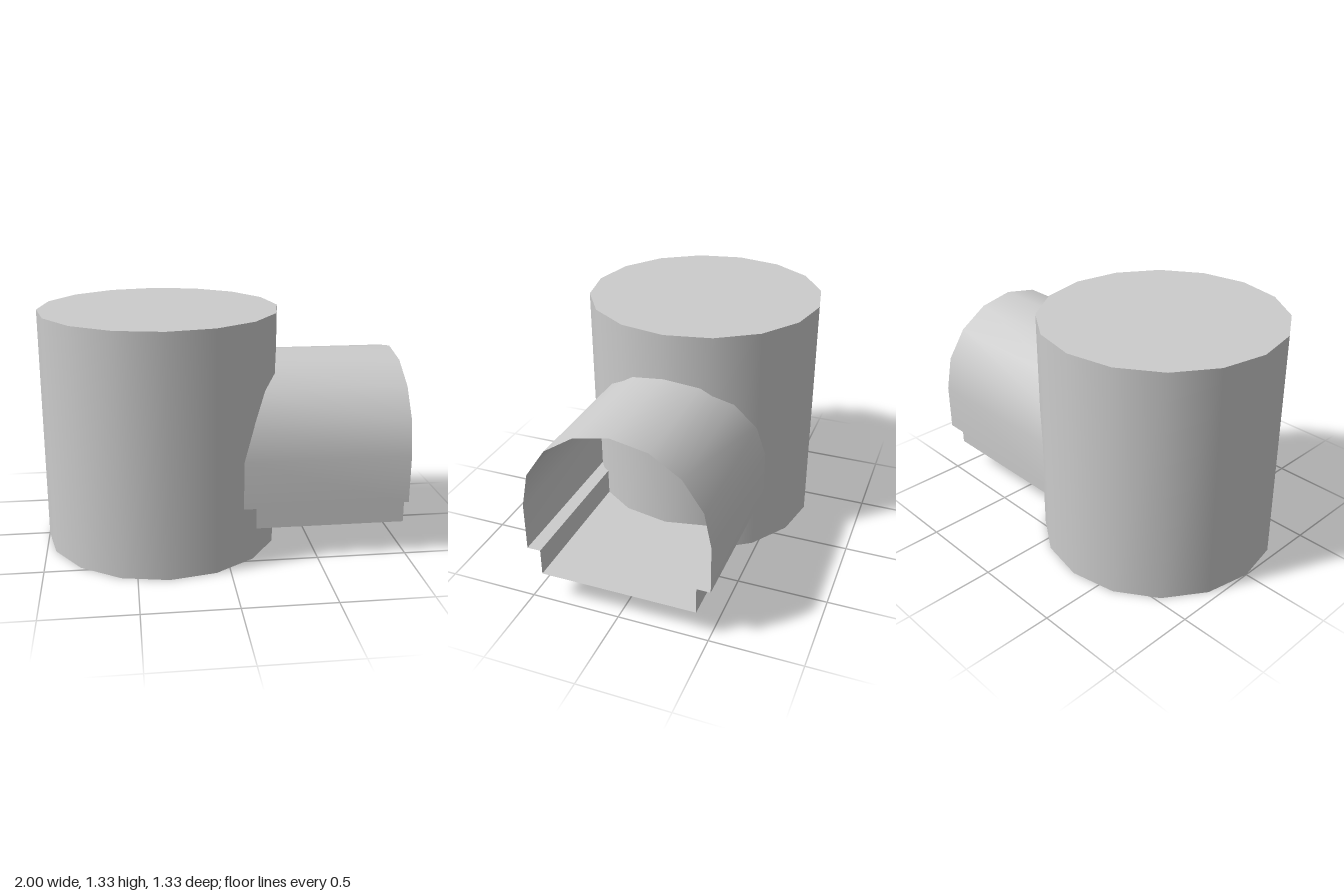
import * as THREE from 'three';

const grey = new THREE.MeshStandardMaterial({ color: 0xcccccc });
const thin = new THREE.MeshStandardMaterial({ color: 0xcccccc, side: THREE.DoubleSide });

// Thin sheet: a [z, y] profile swept along x, smooth across its points
function sheet(name, profile, x0, x1) {
  const positions = [], index = [];
  profile.forEach(([z, y], i) => {
    positions.push(x0, y, z, x1, y, z);
    if (i > 0) {
      const a = 2 * i - 2;
      index.push(a, a + 1, a + 2, a + 1, a + 3, a + 2);
    }
  });
  const geometry = new THREE.BufferGeometry();
  geometry.setAttribute('position', new THREE.Float32BufferAttribute(positions, 3));
  geometry.setIndex(index);
  geometry.computeVertexNormals();
  const mesh = new THREE.Mesh(geometry, thin);
  mesh.name = name;
  return mesh;
}

export function createModel() {
  const model = new THREE.Group();
  model.name = 'drumWithTunnel';

  // Upright sixteen-sided drum with closed ends
  const radius = 0.667, height = 1.333;
  const drum = new THREE.Mesh(new THREE.CylinderGeometry(radius, radius, height, 16), grey);
  drum.name = 'drum';
  drum.position.set(-0.333, height / 2, 0);
  model.add(drum);

  // Open-ended tunnel running from inside the drum wall to x = 1
  const x0 = 0.07, x1 = 1;
  const halfWidth = 0.509, spring = 0.582, rise = 0.498;
  const ledgeY = 0.314, floorY = 0.164, floorHalf = 0.434;
  const tunnel = new THREE.Group();
  tunnel.name = 'tunnel';

  // Vaulted roof with short straight sides
  const vault = [[halfWidth, ledgeY]];
  for (let i = 0; i <= 8; i++) {
    const a = (i * Math.PI) / 8;
    vault.push([halfWidth * Math.cos(a), spring + rise * Math.sin(a)]);
  }
  vault.push([-halfWidth, ledgeY]);
  tunnel.add(sheet('vault', vault, x0, x1));

  // Stepped ledges and lower walls, mirrored
  for (const [side, s] of [['left', -1], ['right', 1]]) {
    const ledge = [[s * floorHalf, ledgeY], [s * halfWidth, ledgeY]];
    const wall = [[s * floorHalf, floorY], [s * floorHalf, ledgeY]];
    if (s < 0) { ledge.reverse(); wall.reverse(); }
    tunnel.add(sheet(side + 'Ledge', ledge, x0, x1), sheet(side + 'LowerWall', wall, x0, x1));
  }

  // Floor
  tunnel.add(sheet('floor', [[-floorHalf, floorY], [floorHalf, floorY]], x0, x1));
  model.add(tunnel);
  return model;
}
